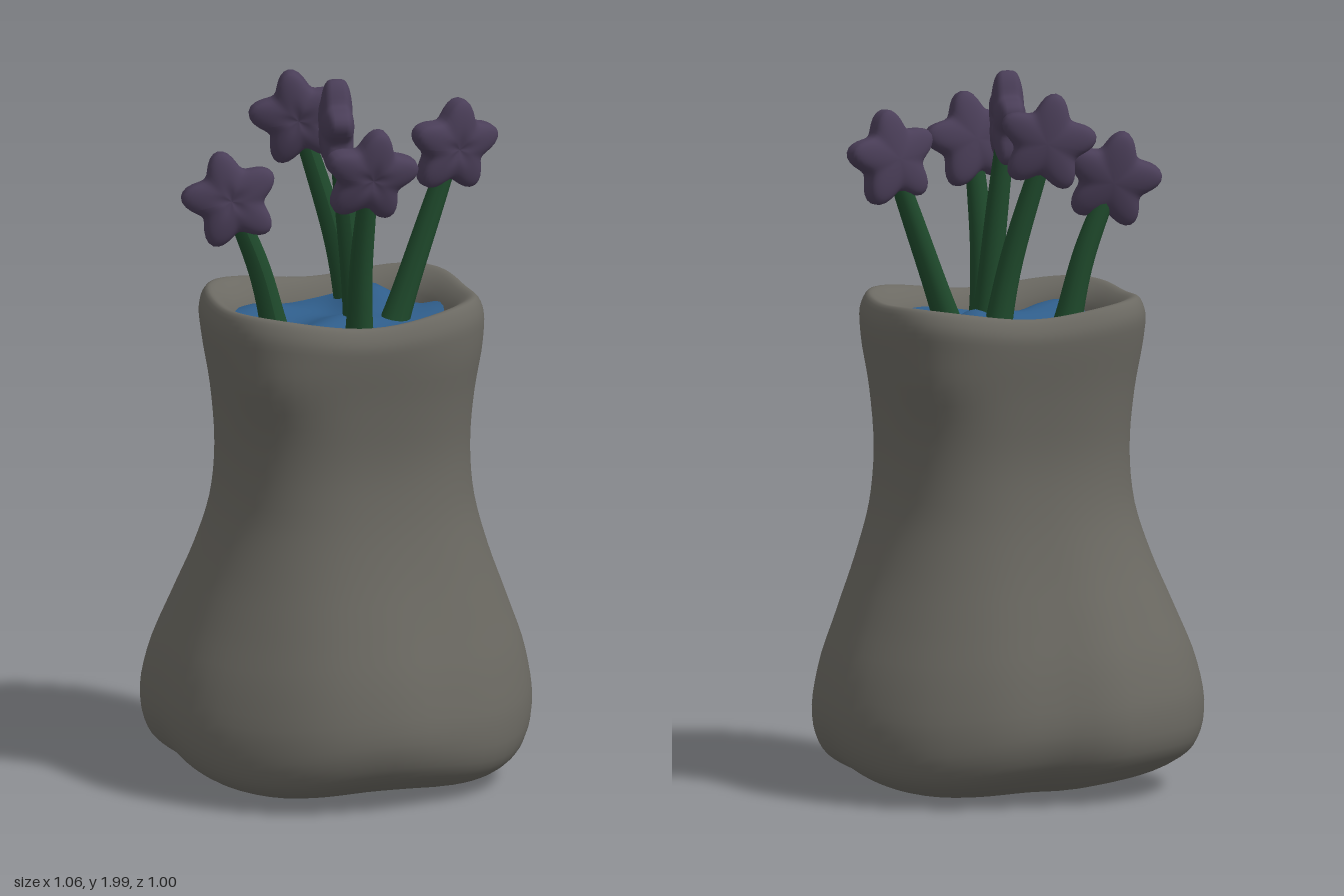
import * as THREE from 'three';

const material = (color, side = THREE.FrontSide) => {
  const m = new THREE.MeshStandardMaterial({ side });
  m.color.set(color);
  return m;
};
const CLAY = material(0x6b6962), WATER = material(0x2f5d8a, THREE.DoubleSide);
const GREEN = material(0x1f4a2c), PURPLE = material(0x4a3e58);

function mesh(name, geometry, mat) {
  const m = new THREE.Mesh(geometry, mat);
  m.name = name;
  return m;
}

// Point on a rounded-square outline; n = 2 is an ellipse, larger is squarer
function outline(t, hx, hz, n) {
  const c = Math.cos(t), s = Math.sin(t);
  const k = Math.pow(Math.abs(c) ** n + Math.abs(s) ** n, -1 / n);
  return [hx * c * k, hz * s * k];
}

// Closed loops joined into a skin
function loft(rows, segs, point) {
  const pos = [], idx = [];
  for (let j = 0; j < rows; j++)
    for (let i = 0; i < segs; i++) pos.push(...point(j / (rows - 1), (i / segs) * Math.PI * 2));
  for (let j = 0; j < rows - 1; j++)
    for (let i = 0; i < segs; i++) {
      const a = j * segs + i, b = j * segs + ((i + 1) % segs);
      idx.push(a, a + segs, b, b, a + segs, b + segs);
    }
  const g = new THREE.BufferGeometry();
  g.setAttribute('position', new THREE.Float32BufferAttribute(pos, 3));
  g.setIndex(idx);
  g.computeVertexNormals();
  return g;
}

// Hand-shaped unevenness of the foot: radius factor at 16 directions, from +x towards +z
const FOOT = [0.99, 0.99, 0.98, 0.965, 1, 1.015, 1.005, 1.02, 1, 1.06, 1.08, 1.06, 0.98, 1.005, 1.02, 1.025];
function footFactor(t) {
  const f = (t / (Math.PI * 2)) * 16, i = Math.floor(f);
  const u = THREE.MathUtils.smoothstep(f - i, 0, 1);
  return THREE.MathUtils.lerp(FOOT[i % 16], FOOT[(i + 1) % 16], u);
}

// Vase: [y, half width, half depth, squareness], from the base up, over the rim and inside
function vase() {
  const rings = [
    [0.015, 0.001, 0.001, 2.2], [0.015, 0.15, 0.15, 2.2], [0.025, 0.3, 0.28, 2.3],
    [0.06, 0.425, 0.405, 2.3], [0.11, 0.495, 0.47, 2.2], [0.2, 0.53, 0.498, 2.02],
    [0.34, 0.515, 0.472, 2.02], [0.5, 0.46, 0.415, 2.1], [0.65, 0.405, 0.362, 2.2],
    [0.8, 0.362, 0.322, 2.3], [0.95, 0.346, 0.302, 2.5], [1.12, 0.355, 0.31, 2.7],
    [1.26, 0.375, 0.325, 2.9], [1.325, 0.377, 0.325, 3], [1.368, 0.357, 0.3, 3.1],
    [1.362, 0.33, 0.272, 3.1], [1.31, 0.288, 0.236, 2.7], [1.18, 0.255, 0.205, 2.5],
  ];
  const sizes = new THREE.CatmullRomCurve3(rings.map((r) => new THREE.Vector3(r[1], r[0], r[2])));
  return loft(69, 64, (v, t) => {
    const p = sizes.getPoint(v), f = v * (rings.length - 1);
    const i = Math.min(Math.floor(f), rings.length - 2);
    const low = 1 - THREE.MathUtils.smoothstep(p.y, 0.25, 0.9);
    const high = THREE.MathUtils.smoothstep(p.y, 1.2, 1.36);
    const n = THREE.MathUtils.lerp(rings[i][3], rings[i + 1][3], f - i) - 0.35 * high * Math.sin(t);
    // thumbed bumps below two rim corners
    const thumb = Math.max(0, -Math.sin(2 * t)) ** 4 * Math.exp(-(((p.y - 1.17) / 0.08) ** 2));
    const swell = 1 + low * (footFactor(t) - 1) + 0.035 * thumb;
    const [x, z] = outline(t, p.x * swell, p.z * swell, n);
    // wavy rim, and a foot that rises under the back corner
    const bulge = Math.exp(-(((t - 3.95) / 0.45) ** 2));
    const edge = Math.min(1, p.x / 0.45) ** 2;
    const lift = high * (0.004 + 0.01 * Math.cos(2 * t) - 0.01 * Math.cos(4 * t))
      + low * edge * (0.045 * bulge + 0.014 * Math.cos(4 * t));
    return [x, Math.max(0, p.y + lift), z];
  });
}

// Rippled water surface inside the neck
function water() {
  return loft(14, 48, (v, t) => {
    const r = Math.max(1 - v, 0.001);
    const [x, z] = outline(t, 0.292 * r, 0.24 * r, 2.6);
    const y = 1.305 + 0.016 * Math.sin(17 * x + 2) * Math.cos(19 * z) + 0.012 * Math.sin(25 * z + 9 * x);
    return [x, y + 0.06 * Math.exp(-((x - 0.12) ** 2 + (z + 0.12) ** 2) / 0.006), z];
  });
}

// Chunky five-pointed star facing +z, made by pushing a sphere outwards at the points
function blossom() {
  const g = new THREE.SphereGeometry(1, 60, 24).rotateX(Math.PI / 2);
  const p = g.attributes.position;
  for (let i = 0; i < p.count; i++) {
    const x = p.getX(i), y = p.getY(i), z = p.getZ(i);
    const r = Math.hypot(x, y), a = Math.atan2(x, y);
    const point = 0.5 + 0.5 * Math.cos(5 * a);
    const k = 0.092 + 0.046 * point;
    const dimple = z > 0 ? 0.01 * Math.exp(-r * r * 14) : 0;
    p.setXYZ(i, x * k, y * k, Math.sign(z) * Math.abs(z) ** 0.55 * 0.047 - dimple);
  }
  g.computeVertexNormals();
  return g;
}

// Stem: tube that thins slightly towards the flower
function stem(points) {
  const curve = new THREE.CatmullRomCurve3(points.map((p) => new THREE.Vector3(...p)));
  const rows = 16, sides = 12;
  const g = new THREE.TubeGeometry(curve, rows, 1, sides, false);
  const p = g.attributes.position, v = new THREE.Vector3();
  for (let i = 0; i < p.count; i++) {
    const u = Math.floor(i / (sides + 1)) / rows, c = curve.getPointAt(u);
    const r = 0.024 + 0.022 * (1 - u) ** 4 + 0.007 * Math.sin(u * Math.PI);
    v.fromBufferAttribute(p, i).sub(c).multiplyScalar(r).add(c);
    p.setXYZ(i, v.x, v.y, v.z);
  }
  g.computeVertexNormals();
  return g;
}

export function createModel() {
  const model = new THREE.Group();
  model.name = 'flowerVase';
  model.add(mesh('vase', vase(), CLAY), mesh('water', water(), WATER));

  // Flowers: blossom centre, [pitch, yaw, roll], stem base and middle
  const flowers = [
    ['left', [0.32, 1.775, 0.0], [0.1, 0.24, -0.12], [0.13, 1.25, 0.02], [0.22, 1.5, 0.01]],
    ['right', [-0.33, 1.68, 0.025], [-0.1, -0.22, 0.25], [-0.19, 1.25, 0.02], [-0.245, 1.47, 0.02]],
    ['front', [0.005, 1.775, 0.238], [0.2, 0, -0.17], [0.0, 1.25, 0.155], [-0.005, 1.5, 0.19]],
    ['back', [-0.06, 1.832, -0.213], [0.05, -0.27, 0.2], [0.085, 1.25, -0.18], [0.035, 1.5, -0.185]],
    ['centre', [-0.025, 1.862, 0.025], [0, 1.37, 0], [0.04, 1.25, 0.03], [0.01, 1.55, 0.03]],
  ];
  const star = blossom();
  for (const [name, centre, turn, base, middle] of flowers) {
    const flower = new THREE.Group();
    flower.name = name + 'Flower';
    const head = mesh(name + 'Blossom', star, PURPLE);
    head.position.set(...centre);
    head.rotation.set(turn[0], turn[1], turn[2], 'YXZ');
    flower.add(mesh(name + 'Stem', stem([base, middle, centre]), GREEN), head);
    model.add(flower);
  }
  return model;
}
